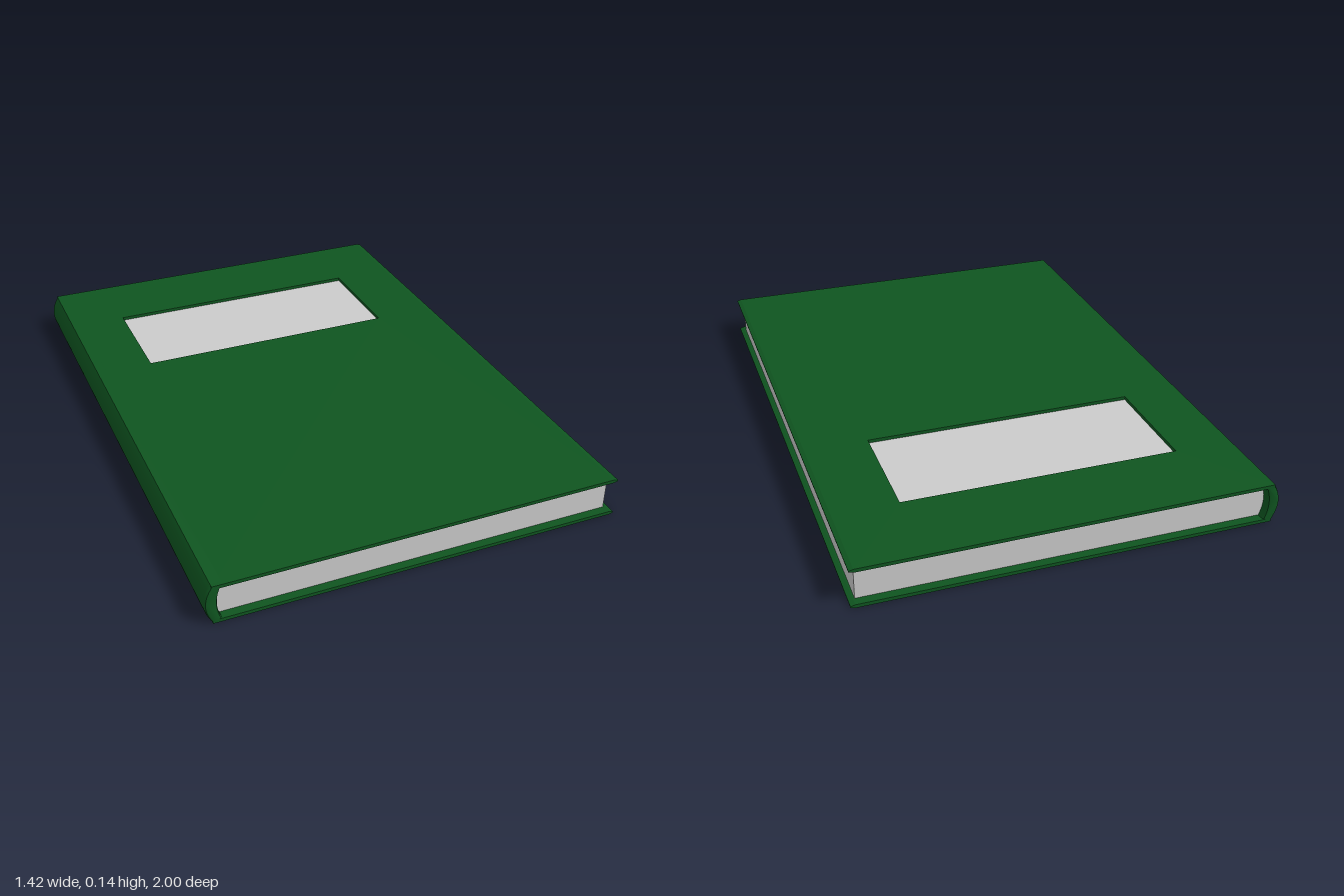
import * as THREE from 'three';
import { toCreasedNormals } from 'three/addons/utils/BufferGeometryUtils.js';

const H = 0.14;          // total thickness
const T = 0.012;         // board thickness
const EDGE = 0.695;      // where the boards begin to taper
const HINGE = -0.69;     // where the boards meet the rounded spine

const polygon = (pts) => new THREE.Shape(pts.map(([x, y]) => new THREE.Vector2(x, y)));

// Extrude an XY profile along z, centred on z = 0
function extrudeZ(shape, length, bevel = 0) {
  const geo = new THREE.ExtrudeGeometry(shape, {
    depth: length - 2 * bevel, curveSegments: 16, bevelEnabled: bevel > 0,
    bevelThickness: bevel, bevelSize: bevel / 2, bevelOffset: -bevel / 2, bevelSegments: 3,
  });
  geo.translate(0, 0, -length / 2 + bevel);
  return toCreasedNormals(geo, 0.5);
}

export function createModel() {
  const book = new THREE.Group();
  book.name = 'book';
  const green = new THREE.MeshStandardMaterial({ color: 0x0f5520 });
  const grey = new THREE.MeshStandardMaterial({ color: 0xcccccc });

  const add = (name, geo, mat, y = 0) => {
    const mesh = new THREE.Mesh(geo, mat);
    mesh.name = name;
    mesh.position.y = y;
    book.add(mesh);
  };

  // Boards: the front one has a window that shows the first page
  const board = (hasWindow) => {
    const s = polygon([[HINGE, -1], [EDGE, -1], [EDGE, 1], [HINGE, 1]]);
    if (hasWindow) {
      s.holes.push(polygon([[-0.485, 0.31], [-0.485, 0.71], [0.475, 0.71], [0.475, 0.31]]));
    }
    const geo = new THREE.ExtrudeGeometry(s, { depth: T, bevelEnabled: false });
    return geo.rotateX(-Math.PI / 2);
  };

  // Tapered strip along the opening edge of each board
  const strip = () => extrudeZ(polygon([
    [EDGE, 0], [0.71, T * 0.35], [0.71, T * 0.65], [EDGE, T],
  ]), 2);

  for (const [name, y, hasWindow] of [['backCover', 0, false], ['frontCover', H - T, true]]) {
    add(name, board(hasWindow), green, y);
    add(name + 'Edge', strip(), green, y);
  }

  // Rounded spine, hollowed to fit the page block
  const spine = new THREE.Shape();
  spine.moveTo(HINGE, 0);
  spine.lineTo(-0.655, 0);
  spine.quadraticCurveTo(-0.69, H / 2, -0.655, H);
  spine.lineTo(HINGE, H);
  spine.quadraticCurveTo(-0.738, H / 2, HINGE, 0);
  add('spine', extrudeZ(spine, 2, 0.015), green);

  // Page block, rounded on the spine side
  const pages = new THREE.Shape();
  pages.moveTo(-0.66, T);
  pages.lineTo(0.69, T);
  pages.lineTo(0.69, H - T);
  pages.lineTo(-0.66, H - T);
  pages.quadraticCurveTo(-0.69, H / 2, -0.66, T);
  add('pages', extrudeZ(pages, 1.94), grey);

  return book;
}
